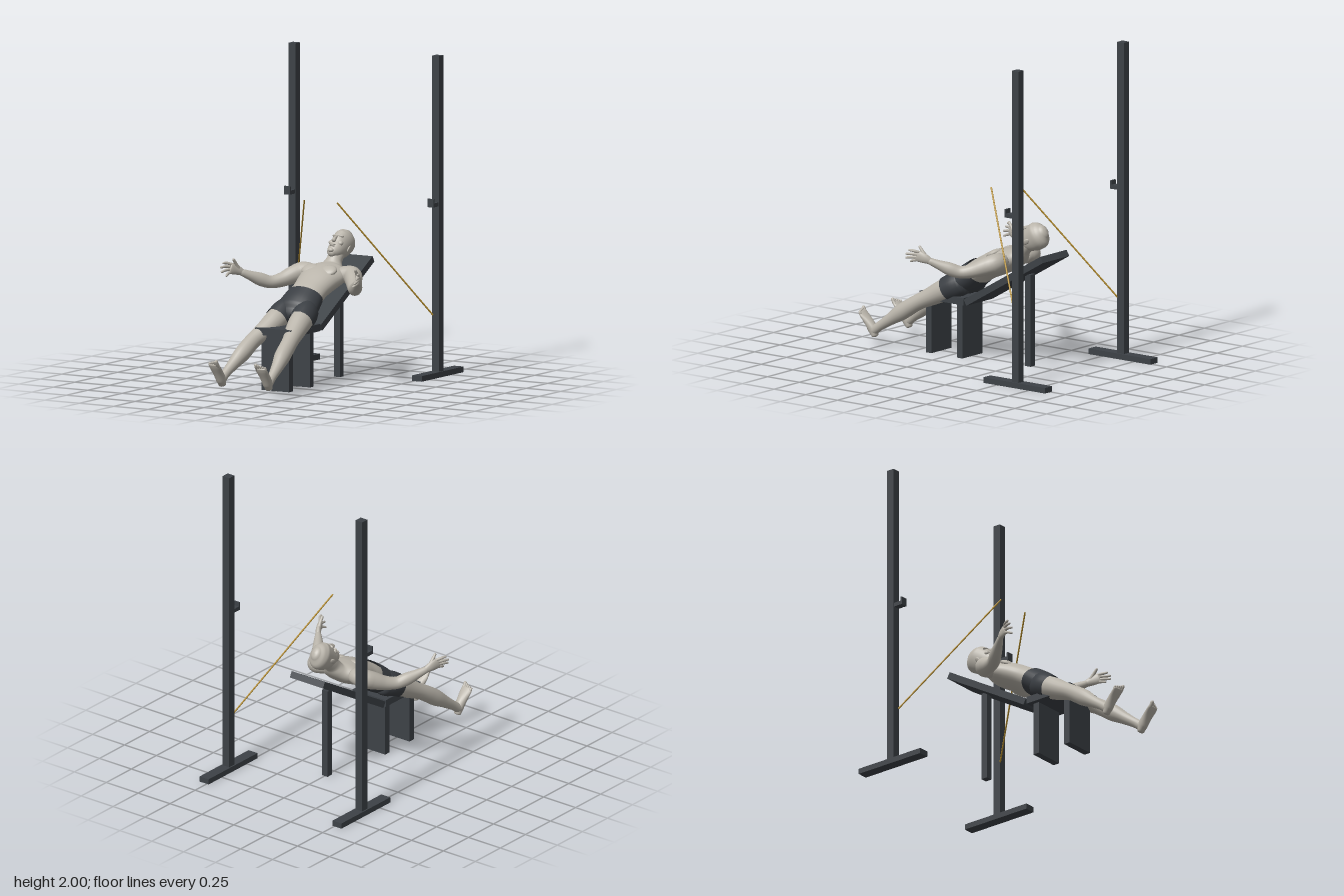
import * as THREE from 'three';

const V = (x, y, z) => new THREE.Vector3(x, y, z);
const mat = (name, color) => {
  const m = new THREE.MeshStandardMaterial({ color });
  m.name = name;
  return m;
};

// Smooth tube through rows of [x, y, z, sideRadius, depthRadius]; dome rounds off the ends
function loft(rows, { ref = V(1, 0, 0), dome = [0.5, 0.5], steps = 4, seg = 20 } = {}) {
  const path = new THREE.CatmullRomCurve3(rows.map(r => V(r[0], r[1], r[2])));
  const size = new THREE.CatmullRomCurve3(rows.map(r => V(r[3], r[4] ?? r[3], 0)));
  const n = (rows.length - 1) * steps, rings = [];
  for (let i = 0; i <= n; i++) {
    const t = i / n, T = path.getTangent(t), c = path.getPoint(t), r = size.getPoint(t);
    const side = ref.clone().addScaledVector(T, -ref.dot(T)).normalize();
    const ring = (k, off) => rings.push({ c: c.clone().addScaledVector(T, off), side,
      dep: T.clone().cross(side), a: r.x * k, b: r.y * k });
    const h = Math.min(r.x, r.y);
    if (i === 0 && dome[0]) [[0.001, 1], [0.5, 0.866], [0.866, 0.5]].forEach(([k, o]) => ring(k, -o * h * dome[0]));
    ring(1, 0);
    if (i === n && dome[1]) [[0.866, 0.5], [0.5, 0.866], [0.001, 1]].forEach(([k, o]) => ring(k, o * h * dome[1]));
  }
  const pos = [], idx = [];
  rings.forEach((q, i) => {
    for (let j = 0; j < seg; j++) {
      const a = (j / seg) * Math.PI * 2;
      const p = q.c.clone().addScaledVector(q.side, q.a * Math.cos(a)).addScaledVector(q.dep, q.b * Math.sin(a));
      pos.push(p.x, p.y, p.z);
      if (i < rings.length - 1) {
        const A = i * seg + j, B = i * seg + (j + 1) % seg;
        idx.push(A, B, A + seg, B, B + seg, A + seg);
      }
    }
  });
  const g = new THREE.BufferGeometry();
  g.setAttribute('position', new THREE.Float32BufferAttribute(pos, 3));
  g.setIndex(idx);
  g.computeVertexNormals();
  return g;
}

export function createModel() {
  const model = new THREE.Group();
  const steel = mat('dark steel', 0x3d4247);
  const skin = mat('pale skin', 0xb9b4aa);
  const cloth = mat('shorts cloth', 0x3a3e43);
  cloth.side = THREE.DoubleSide;
  const gold = mat('band gold', 0xb8902f);

  const add = (name, geo, material, parent = model) => {
    const m = new THREE.Mesh(geo, material);
    m.name = name;
    parent.add(m);
    return m;
  };
  const box = (name, w, h, d, x, y, z, parent = model) => {
    const m = add(name, new THREE.BoxGeometry(w, h, d), steel, parent);
    m.position.set(x, y, z);
    return m;
  };
  const ball = (name, parent, x, y, z, rx, ry, rz) => {
    const m = add(name, new THREE.SphereGeometry(1, 20, 14), skin, parent);
    m.position.set(x, y, z);
    m.scale.set(rx, ry, rz);
    return m;
  };

  // Bench
  const bench = new THREE.Group();
  bench.name = 'bench';
  model.add(bench);
  box('seat', 0.26, 0.045, 0.345, 0, 0.367, 0.273, bench);
  box('frontLegPanel', 0.2, 0.345, 0.044, 0, 0.1725, 0.397, bench);
  box('middleLegPanel', 0.2, 0.345, 0.044, 0, 0.1725, 0.153, bench);
  box('backLeg', 0.044, 0.58, 0.044, 0, 0.29, -0.321, bench);
  box('backrest', 0.26, 0.042, 0.7, 0, 0.541, -0.215, bench).rotation.x = 0.53;

  for (const s of [1, -1]) {
    // Cable posts with feet and hooks
    const post = new THREE.Group();
    post.name = s > 0 ? 'leftPost' : 'rightPost';
    model.add(post);
    box('upright', 0.052, 2, 0.052, s * 0.521, 1, -0.64, post);
    box('foot', 0.07, 0.035, 0.487, s * 0.521, 0.0175, -0.64, post);
    box('hookArm', 0.044, 0.025, 0.06, s * 0.521, 1.077, -0.585, post);
    box('hookLip', 0.044, 0.052, 0.012, s * 0.521, 1.09, -0.559, post);

    // Stretched band
    const a = V(s * 0.5, 0.385, -0.615), b = V(s * 0.118, 1.118, -0.11);
    add('band', new THREE.TubeGeometry(new THREE.LineCurve3(a, b), 1, 0.005, 8), gold);
  }

  // Reclining figure
  const figure = new THREE.Group();
  figure.name = 'figure';
  model.add(figure);
  add('torso', loft([
    [0, 0.50, 0.13, 0.115, 0.076], [0, 0.54, 0.075, 0.118, 0.078], [0, 0.577, 0.012, 0.119, 0.078],
    [0, 0.62, -0.075, 0.136, 0.083], [0, 0.648, -0.15, 0.152, 0.077], [0, 0.67, -0.205, 0.135, 0.064],
    [0, 0.692, -0.24, 0.08, 0.052], [0, 0.73, -0.268, 0.05, 0.048], [0, 0.785, -0.32, 0.047, 0.048],
  ], { seg: 32 }), skin, figure);
  add('shortsHips', loft([
    [0, 0.548, 0.07, 0.124, 0.085], [0, 0.50, 0.135, 0.136, 0.09], [0, 0.465, 0.185, 0.143, 0.085],
    [0, 0.445, 0.215, 0.115, 0.06],
  ], { dome: [0, 0.7], seg: 32 }), cloth, figure);

  // Head, facing local +z, tilted back
  const head = new THREE.Group();
  head.name = 'head';
  head.position.set(0, 0.808, -0.345);
  head.rotation.x = -0.87;
  figure.add(head);
  add('skull', loft([
    [0, -0.108, 0.047, 0.022, 0.022], [0, -0.095, 0.043, 0.036, 0.036], [0, -0.068, 0.03, 0.049, 0.053],
    [0, -0.03, 0.012, 0.056, 0.073], [0, 0.01, 0, 0.061, 0.084], [0, 0.05, -0.008, 0.065, 0.087],
    [0, 0.083, -0.01, 0.054, 0.07], [0, 0.104, -0.012, 0.032, 0.042],
  ], { seg: 28 }), skin, head);
  add('nose', loft([[0, 0.01, 0.08, 0.006, 0.008], [0, -0.012, 0.086, 0.008, 0.011],
    [0, -0.034, 0.09, 0.014, 0.013]], { seg: 12 }), skin, head);
  ball('brow', head, 0, 0.019, 0.072, 0.042, 0.009, 0.014);
  ball('upperLip', head, 0, -0.056, 0.079, 0.02, 0.005, 0.008);
  ball('lowerLip', head, 0, -0.066, 0.078, 0.018, 0.005, 0.008);
  ball('chin', head, 0, -0.096, 0.07, 0.02, 0.014, 0.014);
  for (const s of [1, -1]) {
    ball('ear', head, s * 0.062, -0.012, -0.006, 0.007, 0.026, 0.016).rotation.y = s * 0.4;
    ball('cheek', head, s * 0.031, -0.025, 0.058, 0.02, 0.017, 0.016);
  }

  for (const s of [1, -1]) {
    const side = s > 0 ? 'left' : 'right';
    const limb = (name, rows, opt, material = skin) =>
      add(side + name, loft(rows.map(([x, ...r]) => [s * x, ...r]), opt), material, figure);

    const pec = ball(side + 'Chest', figure, s * 0.062, 0.69, -0.095, 0.062, 0.05, 0.024);
    pec.rotation.x = -1.05;

    // Shorts leg, leg and foot
    limb('ShortsLeg', [[0.07, 0.475, 0.155, 0.07, 0.08], [0.08, 0.45, 0.205, 0.078, 0.082],
      [0.087, 0.42, 0.262, 0.078, 0.078]], { dome: [0.5, 0] }, cloth);
    limb('Leg', [
      [0.08, 0.455, 0.18, 0.068, 0.07], [0.088, 0.42, 0.262, 0.071, 0.071], [0.105, 0.368, 0.36, 0.063, 0.06],
      [0.13, 0.312, 0.465, 0.05, 0.05], [0.143, 0.25, 0.56, 0.05, 0.052], [0.158, 0.188, 0.65, 0.037, 0.038],
      [0.168, 0.13, 0.735, 0.027, 0.029], [0.17, 0.1, 0.775, 0.028, 0.03],
    ]);
    limb('Foot', [
      [0.169, 0.07, 0.765, 0.024, 0.02], [0.169, 0.105, 0.78, 0.03, 0.032], [0.17, 0.15, 0.812, 0.034, 0.026],
      [0.17, 0.19, 0.848, 0.04, 0.017], [0.171, 0.207, 0.862, 0.038, 0.012],
    ]);
    for (let i = 0; i < 5; i++) {
      const x = 0.143 + i * 0.0145, r = i ? 0.0075 : 0.011, d = i * 0.004;
      limb('Toe', [[x, 0.198, 0.856, r], [x + 0.001, 0.215 - d, 0.869 - d, r],
        [x + 0.001, 0.228 - d, 0.876 - d, r]], { dome: [1, 1], seg: 10 });
    }

    // Arm, palm and fingers
    const up = V(0, 1, 0);
    limb('Arm', [
      [0.11, 0.662, -0.185, 0.05, 0.055], [0.178, 0.658, -0.188, 0.06, 0.06], [0.22, 0.638, -0.14, 0.056, 0.054],
      [0.262, 0.613, -0.08, 0.045, 0.045], [0.305, 0.602, -0.018, 0.039, 0.04], [0.345, 0.621, 0.03, 0.041, 0.038],
      [0.39, 0.65, 0.088, 0.029, 0.028], [0.425, 0.673, 0.132, 0.021, 0.018],
    ], { ref: up });
    limb('Palm', [[0.42, 0.67, 0.125, 0.02, 0.016], [0.44, 0.687, 0.155, 0.03, 0.017],
      [0.456, 0.7, 0.19, 0.035, 0.014], [0.461, 0.704, 0.2, 0.033, 0.012]], { ref: up });
    const tips = [[0.487, 0.738, 0.24], [0.492, 0.713, 0.26], [0.482, 0.686, 0.268], [0.46, 0.662, 0.25]];
    tips.forEach(([x, y, z], i) => {
      const k = [0.459, 0.727 - i * 0.016, 0.192];
      limb('Finger', [[...k, 0.0095], [(k[0] + x) / 2 + 0.005, (k[1] + y) / 2 + 0.003, (k[2] + z) / 2, 0.009],
        [x, y, z, 0.007]], { ref: up, dome: [1, 1], seg: 10 });
    });
    limb('Thumb', [[0.435, 0.695, 0.15, 0.014], [0.44, 0.728, 0.172, 0.011], [0.442, 0.758, 0.195, 0.008]],
      { dome: [1, 1], seg: 10 });
  }
  return model;
}
